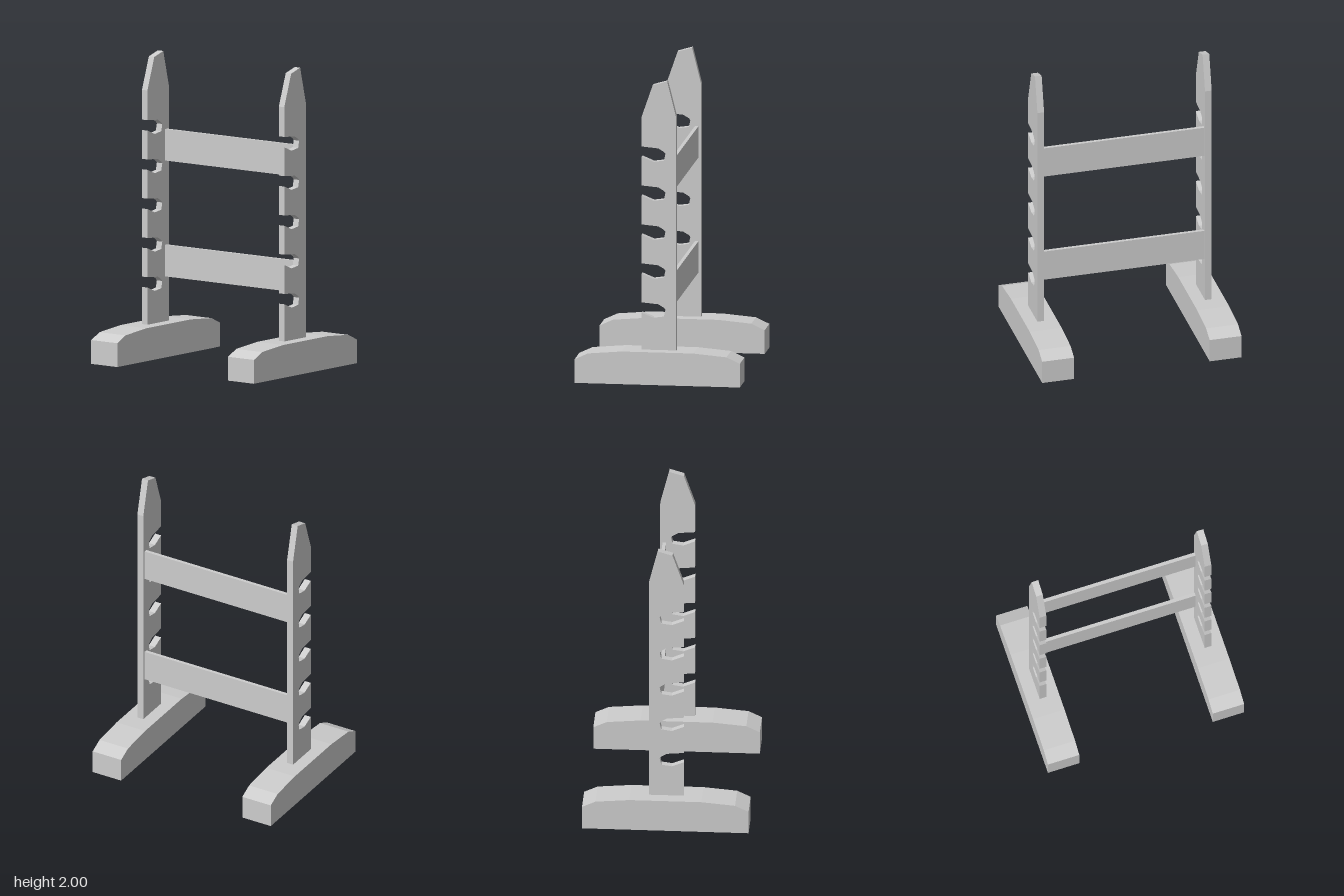
import * as THREE from 'three';

// Extrude a side profile given as [z, y] points, centred across x
function sidePanel(points, width) {
  const shape = new THREE.Shape(points.map(([z, y]) => new THREE.Vector2(z, y)));
  const geometry = new THREE.ExtrudeGeometry(shape, { depth: width, bevelEnabled: false });
  geometry.translate(0, 0, -width / 2);
  geometry.rotateY(-Math.PI / 2);
  return geometry;
}

export function createModel() {
  const group = new THREE.Group();
  const grey = new THREE.MeshStandardMaterial({ color: 0xcccccc });
  grey.name = 'grey';

  const add = (name, geometry, x, y, z) => {
    const mesh = new THREE.Mesh(geometry, grey);
    mesh.name = name;
    mesh.position.set(x, y, z);
    group.add(mesh);
  };

  // Foot with a gently rounded top
  const footGeometry = sidePanel([
    [-0.543, 0], [0.543, 0], [0.543, 0.157], [0.455, 0.198],
    [0.235, 0.217], [-0.235, 0.217], [-0.455, 0.198], [-0.543, 0.157],
  ], 0.215);

  // Post outline: back edge, pointed tip, then five hooked slots down the front
  const slot = [
    [0.115, 0], [0.005, -0.01], [-0.032, -0.032], [-0.042, -0.044],
    [-0.032, -0.09], [0.037, -0.1], [0.115, -0.068],
  ];
  const outline = [[0.115, 0.2], [-0.113, 0.2], [-0.113, 1.76], [-0.053, 2], [0.042, 1.972], [0.115, 1.76]];
  for (let i = 0; i < 5; i++) {
    const top = 1.564 - i * 0.2585;
    for (const [z, y] of slot) outline.push([z, top + y]);
  }
  const postGeometry = sidePanel(outline, 0.045);

  for (const [side, sign] of [['left', 1], ['right', -1]]) {
    add(side + 'Foot', footGeometry, sign * 0.5645, 0, 0);
    add(side + 'Post', postGeometry, sign * 0.565, 0, 0);
  }

  // Cross boards near the back of the posts
  const boardGeometry = new THREE.BoxGeometry(1.086, 0.208, 0.023);
  add('lowerBoard', boardGeometry, 0, 0.616, -0.085);
  add('upperBoard', boardGeometry, 0, 1.379, -0.085);

  return group;
}
